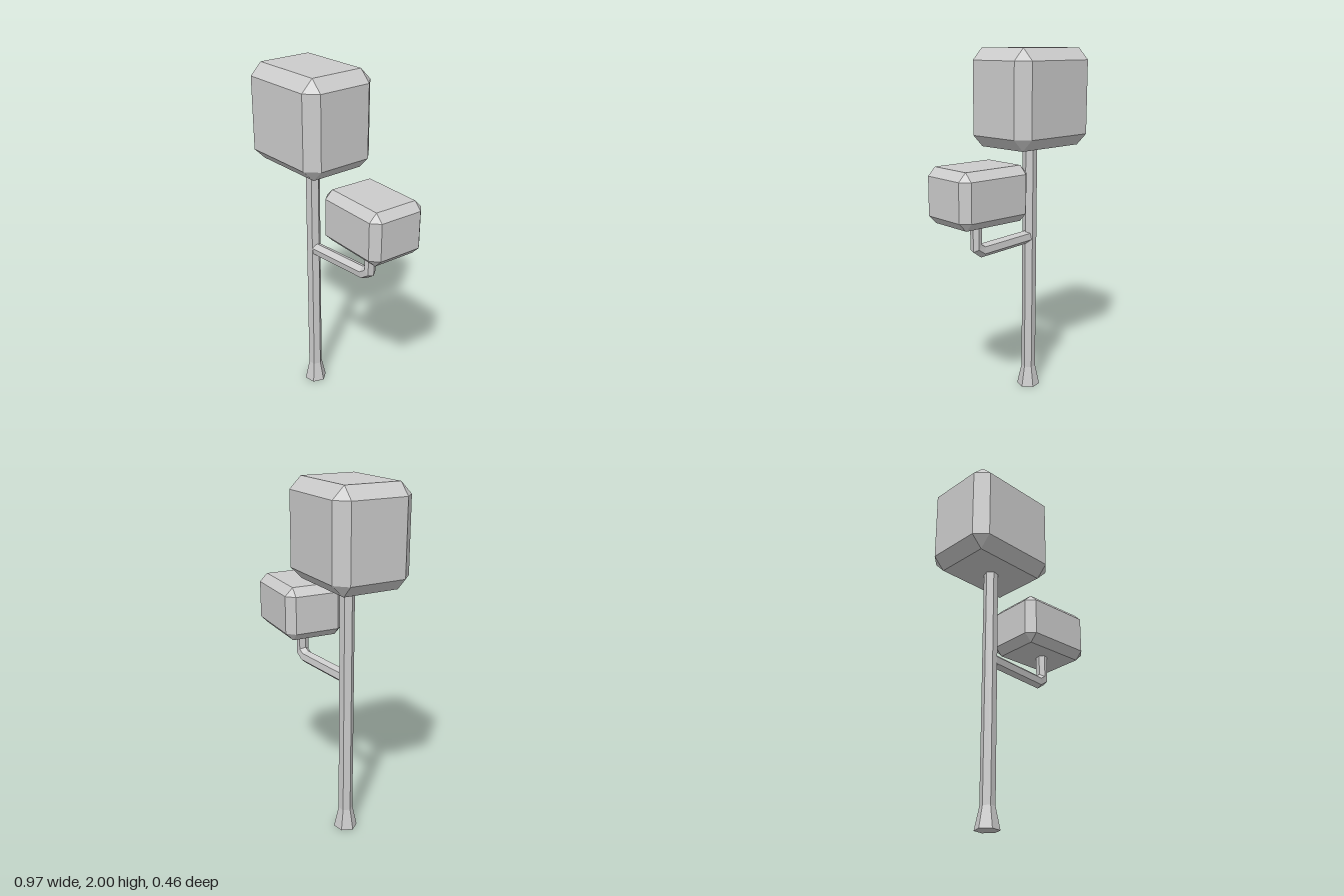
import * as THREE from 'three';
import { ConvexGeometry } from 'three/addons/geometries/ConvexGeometry.js';

const material = new THREE.MeshStandardMaterial({ color: 0xcccccc, flatShading: true });

function addMesh(group, name, geometry) {
  const mesh = new THREE.Mesh(geometry, material);
  mesh.name = name;
  group.add(mesh);
  return mesh;
}

// Box with every edge chamfered by c; w, h, d are half sizes
function chamferedBox(w, h, d, c) {
  const points = [];
  for (const x of [-1, 1]) for (const y of [-1, 1]) for (const z of [-1, 1]) {
    points.push(
      new THREE.Vector3(x * w, y * (h - c), z * (d - c)),
      new THREE.Vector3(x * (w - c), y * h, z * (d - c)),
      new THREE.Vector3(x * (w - c), y * (h - c), z * d)
    );
  }
  return new ConvexGeometry(points);
}

// Six-sided sweep; each ring is [centre x, y, z, inner half-vector x, y]
function bentBranch(rings, halfDepth, roll) {
  const sides = 6, positions = [], index = [];
  rings.forEach(([x, y, z, hx, hy], i) => {
    for (let j = 0; j < sides; j++) {
      const t = roll + (j / sides) * Math.PI * 2;
      positions.push(x + hx * Math.cos(t), y + hy * Math.cos(t), z + halfDepth * Math.sin(t));
      if (i === rings.length - 1) continue;
      const a = i * sides + j, b = i * sides + ((j + 1) % sides);
      index.push(a, b, a + sides, b, b + sides, a + sides);
    }
  });
  const geometry = new THREE.BufferGeometry();
  geometry.setAttribute('position', new THREE.Float32BufferAttribute(positions, 3));
  geometry.setIndex(index);
  geometry.computeVertexNormals();
  return geometry;
}

export function createModel() {
  const tree = new THREE.Group();
  tree.name = 'tree';

  // Hexagonal trunk with a flared, closed foot
  const profile = [[0, 0], [0.067, 0], [0.041, 0.12], [0.041, 1.5]];
  const trunk = addMesh(tree, 'trunk',
    new THREE.LatheGeometry(profile.map(([r, y]) => new THREE.Vector2(r, y)), 6));
  trunk.position.x = -0.195;
  trunk.rotation.y = THREE.MathUtils.degToRad(-20);

  // Side branch that bends upward
  addMesh(tree, 'branch', bentBranch([
    [-0.195, 0.93, 0, 0, 0.038],
    [0.213, 0.928, -0.032, -0.008, 0.038],
    [0.255, 0.955, -0.036, -0.025, 0.025],
    [0.255, 1.13, -0.036, -0.028, 0]
  ], 0.036, THREE.MathUtils.degToRad(10)));

  // Main crown on the trunk
  const mainCrown = addMesh(tree, 'mainCrown', chamferedBox(0.287, 0.27, 0.225, 0.066));
  mainCrown.position.set(-0.2, 1.73, 0.004);

  // Smaller crown on the branch, turned slightly
  const smallCrown = addMesh(tree, 'smallCrown', chamferedBox(0.229, 0.151, 0.173, 0.045));
  smallCrown.position.set(0.25, 1.248, -0.05);
  smallCrown.rotation.y = -0.05;

  return tree;
}
